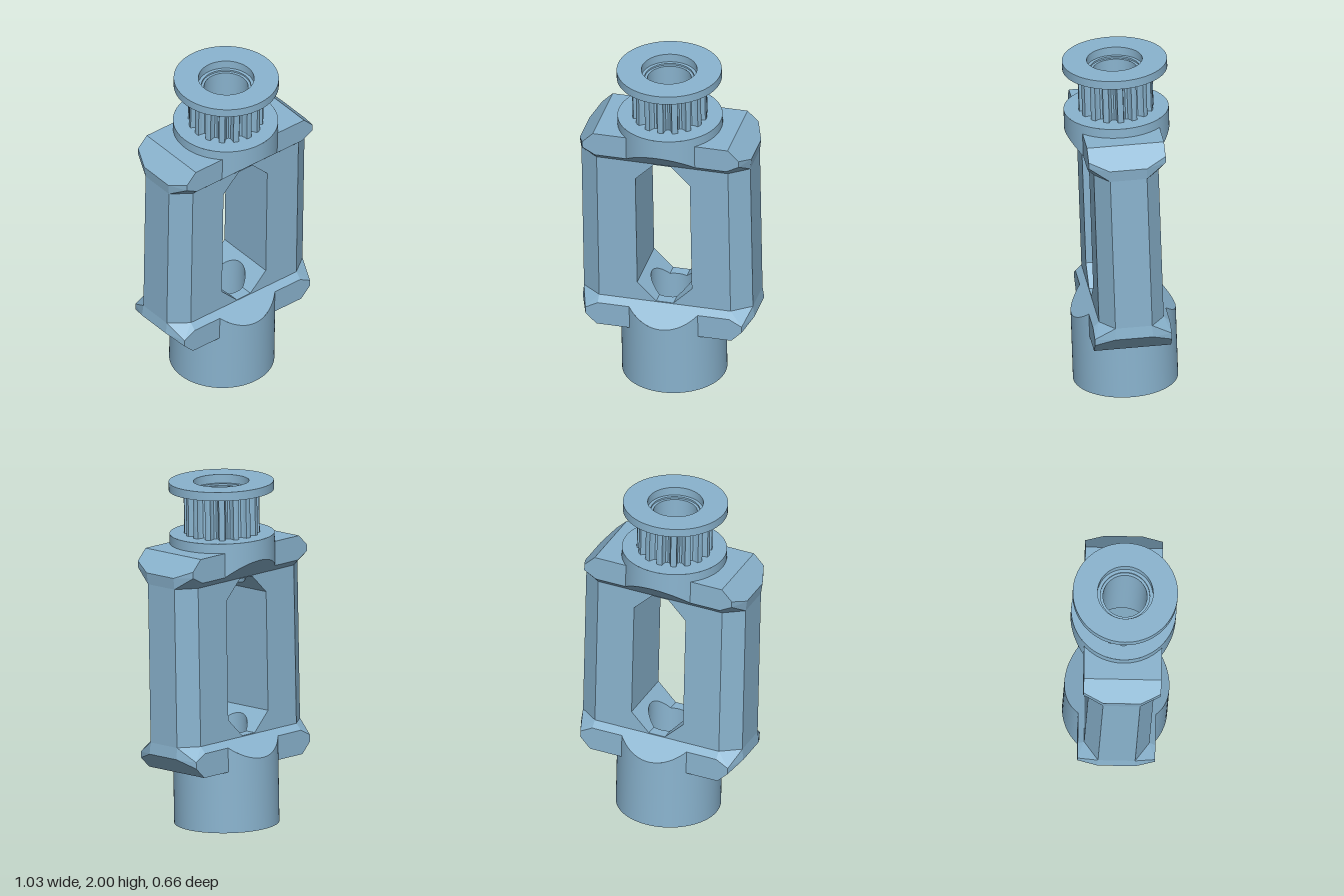
import * as THREE from 'three';
import { toCreasedNormals } from 'three/addons/utils/BufferGeometryUtils.js';
import { ConvexGeometry } from 'three/addons/geometries/ConvexGeometry.js';

// Local heights are measured from the middle of the part.
const R = 0.298;      // collars and flanges
const BORE = 0.125;   // through hole
const COUNTER = 0.158; // counterbore
const ZF = 0.185;     // half depth of the legs
const WIN = 0.16;     // half width of the window
const FLAT = 0.05;    // half width of the window's flat end

// Height of the window's chamfered end, and of the 45 degree underside
const windowEnd = (x) => 0.455 - Math.max(0, Math.abs(x) - FLAT);
const slope = (z) => 0.46 + Math.max(0, Math.abs(z) - ZF);

export function createModel() {
  const blue = new THREE.MeshStandardMaterial({ color: 0x8ab4cf, side: THREE.DoubleSide });
  blue.name = 'steel blue';
  const model = new THREE.Group();
  model.name = 'slottedShaftCoupler';

  const add = (name, geometry) => {
    const mesh = new THREE.Mesh(geometry, blue);
    mesh.name = name;
    model.add(mesh);
    return mesh;
  };

  // Flat outline in (x, z), lifted to a height rule
  const sheet = (name, points, height) => {
    const g = new THREE.ShapeGeometry(new THREE.Shape(points));
    const p = g.attributes.position;
    for (let i = 0; i < p.count; i++) {
      const x = p.getX(i), z = p.getY(i);
      p.setXYZ(i, x, height(x, z), z);
    }
    g.computeVertexNormals();
    return add(name, g);
  };

  // Open tube whose inner end follows a height rule
  const tube = (name, r, s, innerEnd, outerEnd) => {
    const g = new THREE.CylinderGeometry(r, r, 1, 96, 1, true);
    const p = g.attributes.position;
    for (let i = 0; i < p.count; i++) {
      const inner = p.getY(i) < 0;
      p.setY(i, s * (inner ? innerEnd(p.getX(i), p.getZ(i)) : outerEnd));
    }
    if (s < 0) g.index.array.reverse(); // keep the outside facing out
    return add(name, g);
  };

  const lathe = (name, pts) => add(name, toCreasedNormals(
    new THREE.LatheGeometry(pts.map(([r, y]) => new THREE.Vector2(r, y)), 72), 0.6));

  const v2 = (x, y) => new THREE.Vector2(x, y);
  const arc = (r, a0, a1, n = 24) => Array.from({ length: n + 1 }, (_, i) => {
    const a = a0 + (a1 - a0) * i / n;
    return v2(r * Math.cos(a), r * Math.sin(a));
  });

  // Legs either side of the window
  for (const sx of [1, -1]) {
    const plan = [[0.16, ZF], [0.385, ZF], [0.495, 0.105], [0.495, -0.105], [0.385, -ZF], [0.16, -ZF]];
    const shape = new THREE.Shape(plan.map(([x, z]) => v2(sx * x, z)));
    const g = new THREE.ExtrudeGeometry(shape, { depth: 0.94, bevelEnabled: false });
    g.translate(0, 0, -0.47).rotateX(Math.PI / 2);
    add(sx > 0 ? 'leftLeg' : 'rightLeg', g);
  }

  for (const s of [1, -1]) {
    const end = s > 0 ? 'upper' : 'lower';

    // Chamfered shoulder blocks
    for (const sx of [1, -1]) {
      const corners = [
        [0.17, 0.46, ZF], [0.17, 0.495, 0.22], [0.17, 0.635, 0.22], [0.395, 0.635, 0.22],
        [0.385, 0.495, 0.22], [0.458, 0.572, 0.22], [0.458, 0.535, 0.22],
        [0.503, 0.527, 0.107], [0.385, 0.46, ZF], [0.495, 0.46, 0.105],
      ];
      const pts = [];
      for (const [x, y, z] of corners) {
        for (const sz of [1, -1]) pts.push(new THREE.Vector3(sx * x, s * y, sz * z));
      }
      add(end + 'Shoulder', new ConvexGeometry(pts));
    }

    // Round collar and the bore inside it
    tube(end + 'Collar', R, s, (x, z) => slope(z), s > 0 ? 0.69 : 0.99);
    tube(end + 'Bore', BORE, s, (x) => windowEnd(x), 0.93);

    // Window end: chamfers and flat strips cut by the bore
    const a = Math.acos(FLAT / BORE);
    for (const m of [1, -1]) {
      const bite = arc(BORE, a, -a).map((p) => v2(m * p.x, p.y));
      sheet(end + 'WindowChamfer',
        [v2(m * FLAT, -ZF), v2(m * WIN, -ZF), v2(m * WIN, ZF), v2(m * FLAT, ZF), ...bite],
        (x) => s * windowEnd(x));
      const rim = arc(BORE, a, Math.PI - a, 12).map((p) => v2(p.x, m * p.y));
      sheet(end + 'WindowFlat', [v2(-FLAT, m * ZF), v2(FLAT, m * ZF), ...rim], () => s * 0.455);

      // Face around the window end
      const web = new THREE.ShapeGeometry(new THREE.Shape([
        v2(-WIN, s * 0.345), v2(-FLAT, s * 0.455), v2(FLAT, s * 0.455),
        v2(WIN, s * 0.345), v2(WIN, s * 0.46), v2(-WIN, s * 0.46)]));
      add(end + 'WindowFace', web.translate(0, 0, m * ZF));

      // Sloped underside of the collar
      const b = Math.asin(ZF / R);
      sheet(end + 'CollarSlope', arc(R, b, Math.PI - b).map((p) => v2(p.x, m * p.y)),
        (x, z) => s * slope(z));
    }
  }

  // Bottom face with counterbore
  lathe('bottomFace', [[BORE, -0.93], [COUNTER, -0.93], [COUNTER, -0.99], [R, -0.99]]);
  // Pulley flanges
  lathe('lowerFlangeFace', [[R, 0.69], [0.14, 0.69]]);
  lathe('upperFlange', [[0.14, 0.94], [R, 0.94], [R, 0.99], [COUNTER, 0.99], [COUNTER, 0.93], [BORE, 0.93]]);

  // Toothed pulley with rounded grooves
  const teeth = 16, outline = [];
  const step = Math.PI * 2 / teeth;
  for (let i = 0; i < teeth; i++) {
    for (const [t, r] of [[0, 0.212], [0.2, 0.214], [0.4, 0.212], [0.44, 0.19],
      [0.53, 0.175], [0.7, 0.169], [0.87, 0.175], [0.96, 0.19]]) {
      const a = (i + t - 0.2) * step;
      outline.push(v2(r * Math.cos(a), r * Math.sin(a)));
    }
  }
  const gear = new THREE.Shape(outline);
  gear.holes.push(new THREE.Path(arc(0.14, 0, Math.PI * 2, 48).slice(0, -1)));
  const gearGeo = new THREE.ExtrudeGeometry(gear, { depth: 0.25, bevelEnabled: false });
  add('pulleyTeeth', gearGeo.rotateX(-Math.PI / 2).translate(0, 0.69, 0));

  // The whole part stands with a slight lean and turn
  model.rotation.set(0.031, 0.077, 0.006);
  model.position.y = 1;
  const root = new THREE.Group();
  root.name = 'coupler';
  root.add(model);
  return root;
}
